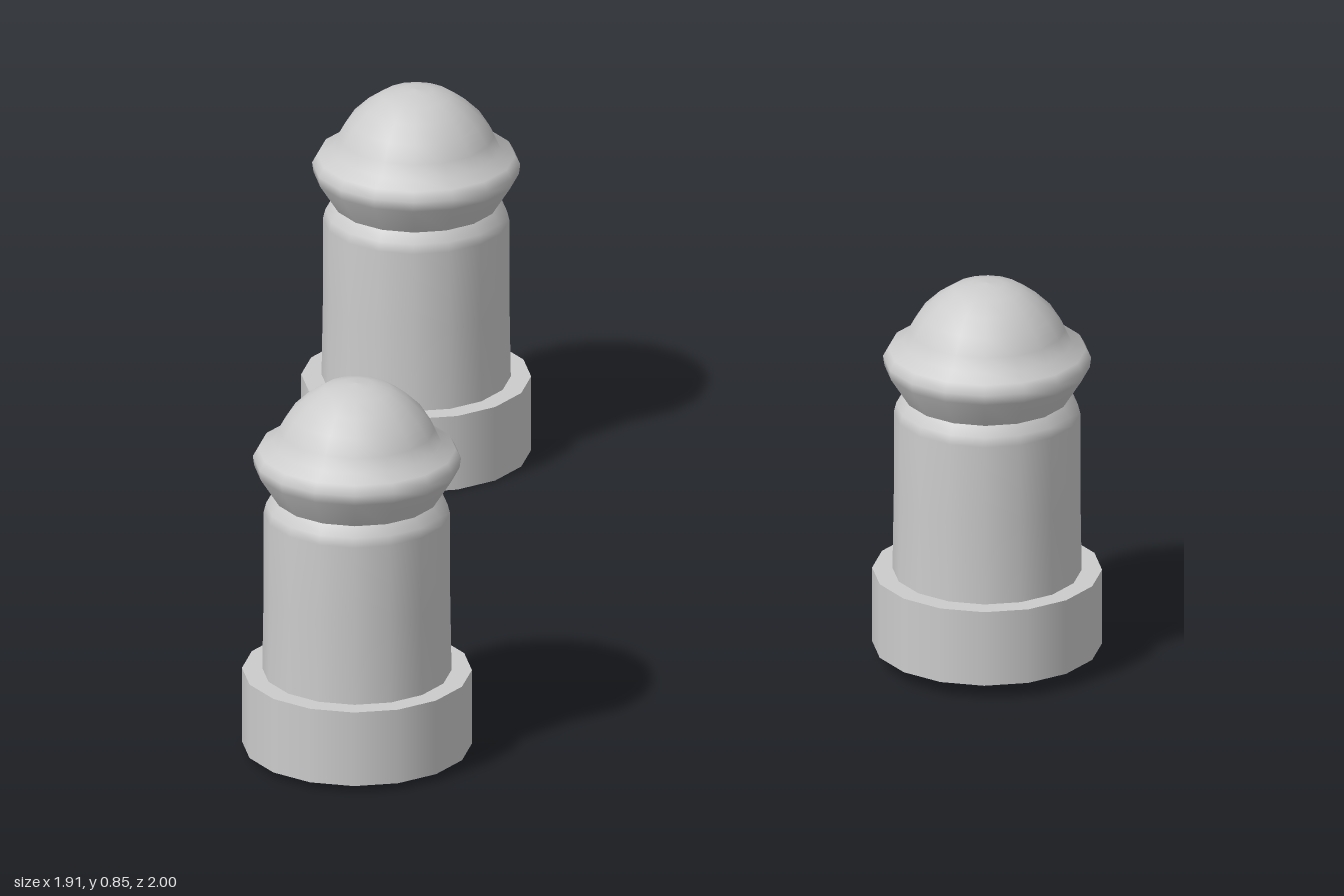
import * as THREE from 'three';

const SIDES = 16;
const material = new THREE.MeshStandardMaterial({ color: 0xcccccc, side: THREE.DoubleSide });

// Turned part from [radius, height] pairs, listed from bottom to top
function turned(name, profile) {
  const points = profile.map(([r, y]) => new THREE.Vector2(r, y));
  const mesh = new THREE.Mesh(new THREE.LatheGeometry(points, SIDES), material);
  mesh.name = name;
  return mesh;
}

function createBollard(name) {
  const bollard = new THREE.Group();
  bollard.name = name;

  // Hollow base collar, open underneath
  bollard.add(turned('baseCollar', [[0.243, 0], [0.243, 0.168]]));

  // Flat plate closing the top of the collar
  const plate = new THREE.Mesh(new THREE.CircleGeometry(0.243, SIDES), material);
  plate.name = 'basePlate';
  plate.rotation.x = -Math.PI / 2;
  plate.position.y = 0.168;
  bollard.add(plate);

  // Shaft, pinched in just below the cap
  bollard.add(turned('shaft', [
    [0.2, 0.168], [0.197, 0.35], [0.197, 0.525], [0.192, 0.545], [0.176, 0.566],
  ]));

  // Flared rim running into the domed cap
  bollard.add(turned('cap', [
    [0.176, 0.566], [0.217, 0.63], [0.22, 0.652], [0.209, 0.672], [0.179, 0.688],
    [0.165, 0.716], [0.142, 0.752], [0.109, 0.784], [0.073, 0.808], [0.036, 0.818], [0, 0.821],
  ]));
  return bollard;
}

export function createModel() {
  const model = new THREE.Group();
  model.name = 'bollards';

  // Triangle of bollards, each at a slightly different ground height
  const places = [
    ['rearBollard', 0, 0, -0.757],
    ['frontRightBollard', -0.714, 0.014, 0.753],
    ['frontLeftBollard', 0.712, 0.033, 0.753],
  ];
  for (const [name, x, y, z] of places) {
    const bollard = createBollard(name);
    bollard.position.set(x, y, z);
    model.add(bollard);
  }
  return model;
}
